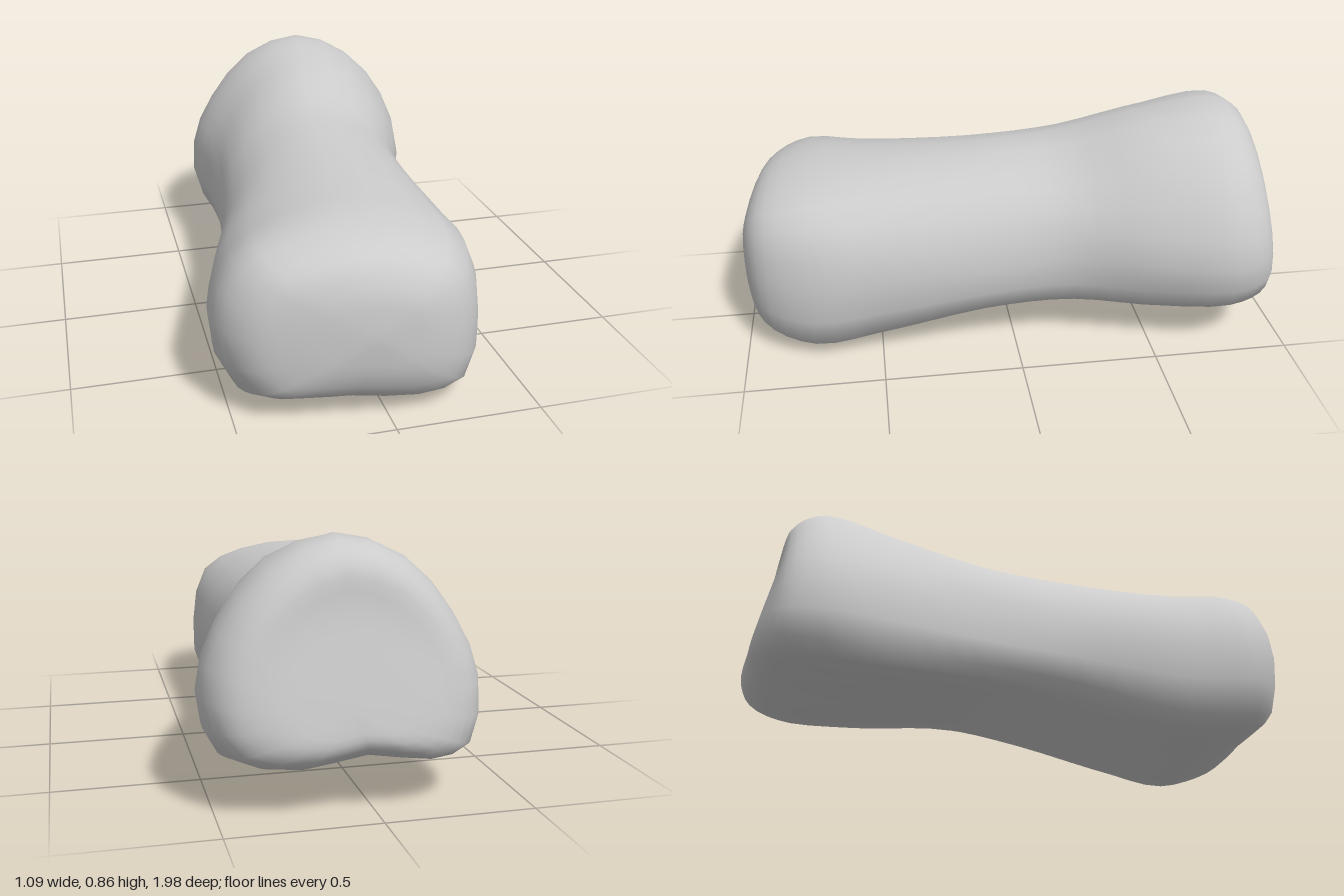
import * as THREE from 'three';

// Main cross-sections, front to back; points run counter-clockwise from the +x side
const SECTIONS = [
  { z: 0.75, p: [[.355, .3], [.3, .52], [.14, .605], [-.12, .635], [-.32, .6], [-.46, .53], [-.54, .32], [-.465, .075], [-.3, .04], [-.12, .03], [.14, 0], [.32, .055]] },
  { z: 0.48, p: [[.37, .32], [.31, .52], [.15, .63], [-.08, .655], [-.28, .6], [-.44, .49], [-.515, .3], [-.46, .055], [-.29, .02], [-.12, .05], [.14, .03], [.325, .09]] },
  { z: 0.1, p: [[.37, .34], [.31, .53], [.17, .64], [-.02, .685], [-.22, .62], [-.35, .49], [-.4, .33], [-.375, .145], [-.22, .095], [-.05, .105], [.15, .1], [.335, .165]] },
  { z: -0.2, p: [[.385, .37], [.33, .55], [.19, .66], [.01, .725], [-.18, .655], [-.31, .52], [-.355, .36], [-.34, .175], [-.2, .14], [-.03, .15], [.16, .15], [.35, .185]] },
  { z: -0.5, p: [[.49, .38], [.42, .59], [.27, .76], [.06, .815], [-.13, .74], [-.28, .57], [-.35, .4], [-.335, .175], [-.2, .14], [0, .165], [.2, .145], [.42, .175]] },
  { z: -0.78, p: [[.54, .375], [.48, .58], [.32, .77], [.1, .86], [-.12, .79], [-.29, .6], [-.375, .4], [-.35, .18], [-.21, .135], [.02, .17], [.25, .135], [.48, .19]] },
];
const AROUND = 24, ALONG = 40;

// Smooth closed ring through a section
function ring({ z, p }) {
  const curve = new THREE.CatmullRomCurve3(p.map(([x, y]) => new THREE.Vector3(x, y, z)), true);
  return Array.from({ length: AROUND }, (_, j) => curve.getPoint(j / AROUND));
}

// Shrunken, tilted copy of a ring that rounds off an end
function capRing(base, cx, cy, scale, z, tiltX, tiltY) {
  return base.map((v) => {
    const dx = (v.x - cx) * scale, dy = (v.y - cy) * scale;
    return new THREE.Vector3(cx + dx, cy + dy, z + tiltX * dx + tiltY * dy);
  });
}

// Skin the rings with splines running lengthwise
function loft(rings) {
  const pos = [], index = [];
  const columns = Array.from({ length: AROUND }, (_, j) =>
    new THREE.CatmullRomCurve3(rings.map((r) => r[j])));
  for (let i = 0; i <= ALONG; i++) {
    for (const c of columns) pos.push(...c.getPoint(i / ALONG).toArray());
  }
  for (let i = 0; i < ALONG; i++) {
    for (let j = 0; j < AROUND; j++) {
      const k = (j + 1) % AROUND;
      const a = i * AROUND + j, b = i * AROUND + k;
      const c = a + AROUND, d = b + AROUND;
      index.push(a, c, b, b, c, d);
    }
  }
  // Close the two ends with a centre point
  [0, ALONG].forEach((row) => {
    const centre = new THREE.Vector3();
    for (let j = 0; j < AROUND; j++) {
      centre.add(new THREE.Vector3().fromArray(pos, (row * AROUND + j) * 3));
    }
    const n = pos.length / 3;
    pos.push(...centre.divideScalar(AROUND).toArray());
    for (let j = 0; j < AROUND; j++) {
      const a = row * AROUND + j, b = row * AROUND + (j + 1) % AROUND;
      if (row === 0) index.push(n, a, b);
      else index.push(n, b, a);
    }
  });
  const geo = new THREE.BufferGeometry();
  geo.setAttribute('position', new THREE.Float32BufferAttribute(pos, 3));
  geo.setIndex(index);
  geo.computeVertexNormals();
  return geo;
}

export function createModel() {
  const group = new THREE.Group();
  group.name = 'bone';
  const body = SECTIONS.map(ring);
  const front = body[0], back = body[body.length - 1];
  const rings = [
    capRing(front, -0.06, 0.33, 0.1, 0.985, 0.12, 0),
    capRing(front, -0.07, 0.33, 0.5, 0.965, 0.11, 0),
    capRing(front, -0.08, 0.33, 0.81, 0.905, 0.06, 0),
    ...body,
    capRing(back, 0.09, 0.36, 0.86, -0.912, 0, 0.07),
    capRing(back, 0.09, 0.36, 0.58, -0.958, 0, 0.19),
    capRing(back, 0.09, 0.34, 0.1, -0.972, 0, 0.2),
  ];
  // One continuous bone: twisted shaft with a swollen knuckle at each end
  const mesh = new THREE.Mesh(loft(rings), new THREE.MeshStandardMaterial({ color: 0xcccccc }));
  mesh.name = 'boneShaftAndKnuckles';
  group.add(mesh);
  return group;
}
